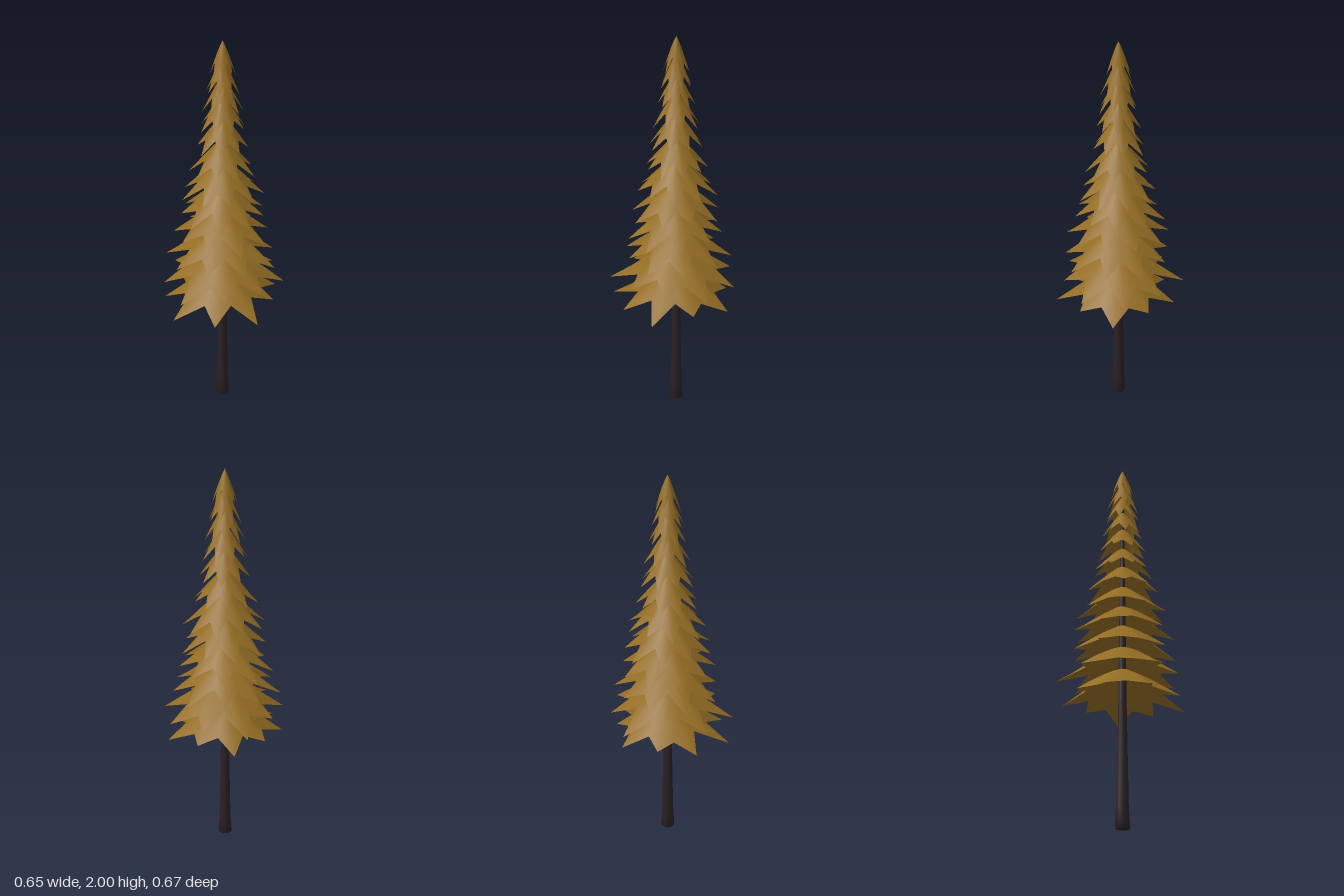
import * as THREE from 'three';

const foliage = new THREE.MeshStandardMaterial({ color: 0x946d24, side: THREE.DoubleSide });
foliage.name = 'ochre foliage';
const bark = new THREE.MeshStandardMaterial({ color: 0x2b2125 });
bark.name = 'dark bark';

// Tiers from the bottom up: tip height, tip radius, dome height, first tip angle (degrees), number of tips
const TIERS = [
  [0.615, 0.31, 0.2, 8, 9],
  [0.735, 0.315, 0.2, -2, 9],
  [0.865, 0.275, 0.19, 17, 9],
  [0.985, 0.25, 0.18, 20, 9],
  [1.10, 0.225, 0.18, 4, 9],
  [1.22, 0.2, 0.18, 30, 9],
  [1.34, 0.16, 0.17, 13, 9],
  [1.46, 0.132, 0.17, 35, 8],
  [1.565, 0.112, 0.17, 5, 8],
  [1.66, 0.095, 0.17, 24, 8],
  [1.745, 0.082, 0.17, 0, 8],
  [1.83, 0.063, 0.17, 30, 8],
];
// Uneven branch lengths for the two widest tiers, in order of angle
const LENGTHS = [
  [1.0, 0.89, 1.06, 1.0, 1.1, 0.97, 0.87, 0.97, 0.86],
  [1.01, 1.02, 0.92, 0.92, 1.1, 0.98, 0.9, 1.08, 0.95],
];

// Open dome with a zigzag rim: ridged tips alternate with short, sagging notches
function tierGeometry([tipY, radius, height, start, tips], index) {
  const columns = tips * 2, rings = 5;
  const lengths = LENGTHS[index];
  const positions = [0, tipY + height, 0], faces = [];
  for (let ring = 1; ring <= rings; ring++) {
    for (let c = 0; c < columns; c++) {
      const isTip = c % 2 === 0;
      const wobble = lengths ? lengths[c / 2] : 1 + 0.07 * Math.sin(c * 2.3 + index * 1.7);
      const rim = isTip ? wobble : 0.62 + 0.04 * Math.sin(c * 1.9 + index);
      const t = (ring / rings) * rim;
      const a = THREE.MathUtils.degToRad(start) + (c / columns) * Math.PI * 2;
      const sag = isTip ? 0 : 0.11 * radius * (ring / rings) ** 1.3;
      const y = tipY + height * (1 - Math.min(t, 1.03) ** 1.2) - sag;
      positions.push(Math.cos(a) * t * radius, y, Math.sin(a) * t * radius);
    }
  }
  const at = (ring, c) => 1 + (ring - 1) * columns + (c % columns);
  for (let c = 0; c < columns; c++) {
    faces.push(0, at(1, c + 1), at(1, c));
    for (let ring = 1; ring < rings; ring++) {
      const a = at(ring, c), b = at(ring, c + 1), d = at(ring + 1, c), e = at(ring + 1, c + 1);
      // Keep the diagonals symmetrical about each tip
      if (c % 2 === 0) faces.push(a, b, d, b, e, d);
      else faces.push(a, b, e, a, e, d);
    }
  }
  const geometry = new THREE.BufferGeometry();
  geometry.setAttribute('position', new THREE.Float32BufferAttribute(positions, 3));
  geometry.setIndex(faces);
  geometry.computeVertexNormals();
  return geometry;
}

export function createModel() {
  const tree = new THREE.Group();
  tree.name = 'conifer';

  // Tapered trunk with a slightly flared foot
  const profile = [[0, 0], [0.037, 0], [0.031, 0.1], [0.021, 0.64], [0.016, 1.2], [0.005, 1.9], [0, 1.9]]
    .map(([r, y]) => new THREE.Vector2(r, y));
  const trunk = new THREE.Mesh(new THREE.LatheGeometry(profile, 8), bark);
  trunk.name = 'trunk';
  tree.add(trunk);

  // Stacked tiers of drooping branches
  TIERS.forEach((tier, i) => {
    const mesh = new THREE.Mesh(tierGeometry(tier, i), foliage);
    mesh.name = `branchTier${i + 1}`;
    tree.add(mesh);
  });

  tree.children.forEach((part) => { part.position.x = 0.012; });
  return tree;
}
